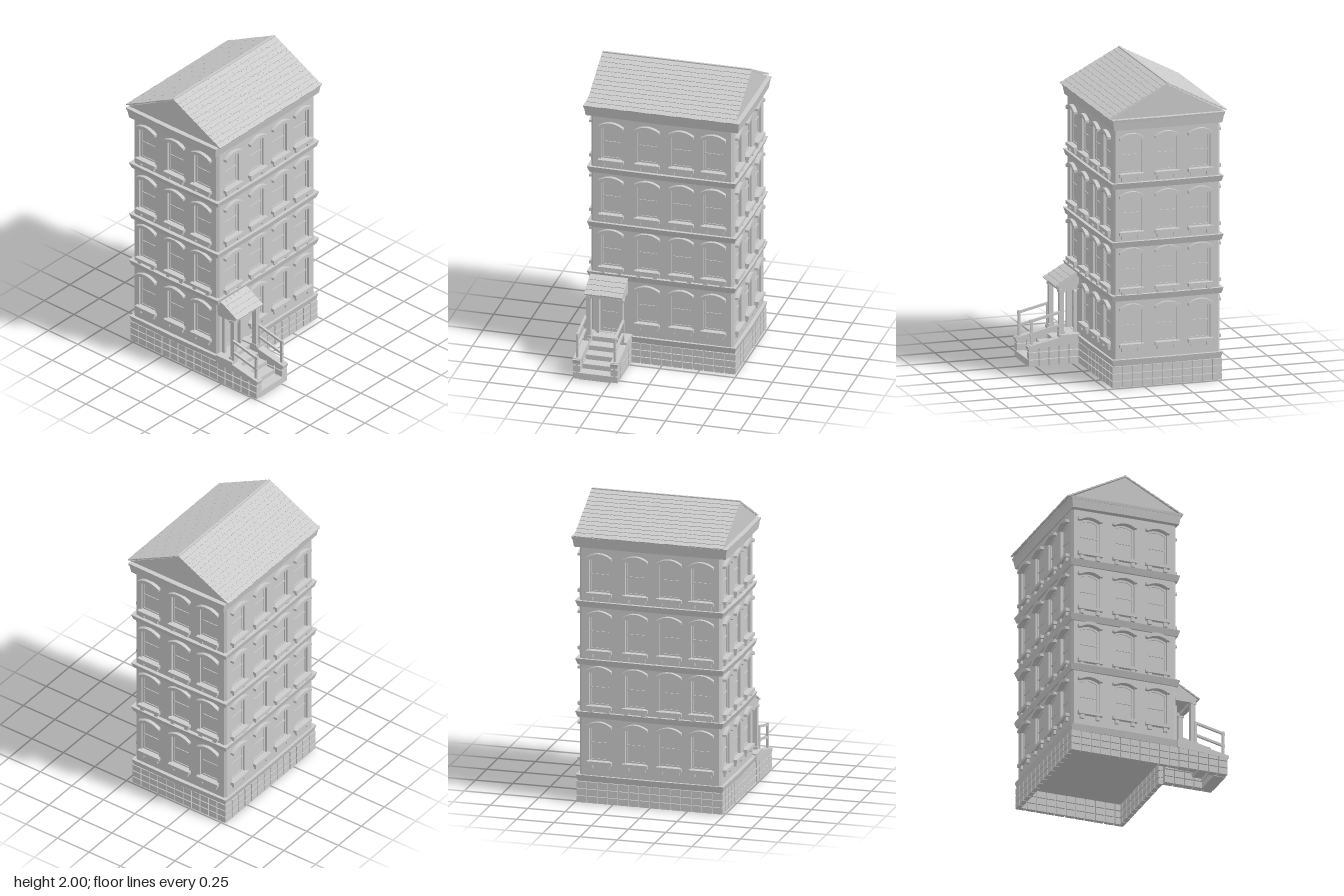
import * as THREE from 'three';
import { mergeGeometries } from 'three/addons/utils/BufferGeometryUtils.js';

const grey = new THREE.MeshStandardMaterial({ color: 0xcccccc, flatShading: true });
const CZ = -0.16, W = 0.95, D = 0.72, T = 0.02; // house centre, width, depth, wall thickness
const CHAMFER = 0.015;
const PORCH_X = -0.3475;

function mesh(name, geometry, parent, x = 0, y = 0, z = 0) {
  const m = new THREE.Mesh(geometry, grey);
  m.name = name;
  m.position.set(x, y, z);
  parent.add(m);
  return m;
}
const box = (w, h, d, x = 0, y = 0, z = 0) => new THREE.BoxGeometry(w, h, d).translate(x, y, z);
const extrude = (shape, depth, z = 0) =>
  new THREE.ExtrudeGeometry(shape, { depth, bevelEnabled: false, curveSegments: 8 }).translate(0, 0, z);

// Extrudes a (z, y) outline along x, centred
function extrudeX(points, width) {
  const shape = new THREE.Shape(points.map(([z, y]) => new THREE.Vector2(z, y)));
  return extrude(shape, width, -width / 2).rotateY(-Math.PI / 2);
}

// Round-topped opening outline
function arch(Type, cx, w, y0, ySide, yTop) {
  const p = new Type(), h = w / 2;
  p.moveTo(cx - h, y0);
  p.lineTo(cx + h, y0);
  p.lineTo(cx + h, ySide);
  p.quadraticCurveTo(cx, 2 * yTop - ySide, cx - h, ySide);
  p.closePath();
  return p;
}

// Moulding around the house, flaring towards the top, with slightly drawn-in corners
function moulding(name, y0, y1, x0, x1, z0, z1, parent) {
  const g = new THREE.BoxGeometry(2, y1 - y0, 2, 2, 1, 2);
  const p = g.attributes.position;
  for (let i = 0; i < p.count; i++) {
    const low = p.getY(i) < 0;
    const pull = Math.abs(p.getX(i) * p.getZ(i)) > 0.5 ? 0.007 : 0;
    p.setX(i, p.getX(i) * ((low ? x0 : x1) - pull));
    p.setZ(i, p.getZ(i) * ((low ? z0 : z1) - pull));
  }
  mesh(name, g, parent, 0, (y0 + y1) / 2, CZ);
}

// Window parts, measured down from the top of the hood
function windowGeometries() {
  const hood = new THREE.Shape();
  hood.moveTo(-0.083, -0.028);
  hood.quadraticCurveTo(0, 0.028, 0.083, -0.028);
  hood.lineTo(0.083, -0.044);
  hood.lineTo(0.067, -0.044);
  hood.quadraticCurveTo(0, -0.002, -0.067, -0.044);
  hood.lineTo(-0.083, -0.044);
  hood.closePath();
  const sash = arch(THREE.Shape, 0, 0.14, -0.268, -0.044, -0.023);
  sash.holes.push(arch(THREE.Path, 0, 0.116, -0.256, -0.054, -0.036));
  return {
    hood: extrude(hood, 0.025),
    sash: extrude(sash, 0.005, -T),
    rail: box(0.12, 0.01, 0.005, 0, -0.15, -T + 0.0025),
    sill: mergeGeometries([
      box(0.167, 0.022, 0.04, 0, -0.277, 0.005),
      ...[-1, 1].map(s => box(0.026, 0.03, 0.016, s * 0.055, -0.3, 0.008)),
    ]),
  };
}

const ROWS = [0.552, 0.923, 1.295, 1.68];

// One wall with its windows; local z = 0 is the outer face
function facade(name, width, columns, hasDoor, parts) {
  const g = new THREE.Group();
  g.name = name;
  const wall = new THREE.Shape();
  const h = width / 2;
  wall.moveTo(-h, 0.18);
  wall.lineTo(h, 0.18);
  wall.lineTo(h, 1.73);
  wall.lineTo(-h, 1.73);
  wall.closePath();
  ROWS.forEach((top, r) => columns.forEach((x, c) => {
    if (hasDoor && r === 0 && c === 0) return;
    wall.holes.push(arch(THREE.Path, x, 0.14, top - 0.268, top - 0.044, top - 0.023));
    const win = new THREE.Group();
    win.name = 'window';
    win.position.set(x, top, 0);
    for (const key in parts) mesh(key, parts[key], win);
    g.add(win);
  }));
  if (hasDoor) wall.holes.push(arch(THREE.Path, PORCH_X, 0.136, 0.19, 0.448, 0.47));
  mesh('wall', extrude(wall, T, -T), g);
  return g;
}

// Overlapping tiles; z runs down the slope, y is its normal
function shingles(width, length, rows, cols) {
  const list = [], tile = width / cols, run = length / rows;
  for (let r = 0; r < rows; r++) {
    const shift = (r % 2) * tile / 2;
    for (let c = 0; c <= cols; c++) {
      const a = Math.max(-width / 2, -width / 2 + c * tile - shift);
      const b = Math.min(width / 2, -width / 2 + (c + 1) * tile - shift);
      if (b - a < 0.005) continue;
      const wobble = ((r * 7 + c * 5) % 4) * 0.001;
      list.push(box(b - a - 0.0005, 0.008, run * 1.12 + wobble).rotateX(-0.1)
        .translate((a + b) / 2, 0.003, (r + 0.5) * run + wobble / 2));
    }
  }
  return mergeGeometries(list);
}

// Rows of blocks with deep open joints over a thin backing
function brickWall(length, cols, thick) {
  const list = [box(length - 0.01, 0.138, thick * 0.25, 0, 0.076, 0)];
  const w = length / cols, h = 0.0485;
  for (let r = 0; r < 3; r++) {
    for (let c = 0; c < cols; c++) {
      list.push(box(w - 0.007, h - 0.006, thick, -length / 2 + (c + 0.5) * w, (r + 0.5) * h, 0));
    }
  }
  return mergeGeometries(list);
}

function buildPorch(house) {
  const porch = new THREE.Group();
  porch.name = 'porch';
  house.add(porch);

  // Solid bottom step, then treads and risers open underneath
  const steps = [box(0.21, 0.045, 0.08, PORCH_X, 0.0225, 0.505)];
  for (let i = 1; i < 5; i++) {
    const top = 0.045 + i * 0.0353, z = 0.545 - i * 0.0673;
    const run = i === 4 ? z - 0.19 : 0.08;
    steps.push(box(0.21, 0.012, run, PORCH_X, top - 0.006, z - run / 2));
    steps.push(box(0.208, 0.035, 0.012, PORCH_X, top - 0.0185, z - 0.012));
  }
  mesh('steps', mergeGeometries(steps), porch);

  const bricks = brickWall(0.34, 5, 0.046).rotateY(Math.PI / 2);
  const cap = extrudeX([[0.2, 0.14], [0.55, 0.115], [0.555, 0.137], [0.34, 0.18], [0.34, 0.197], [0.2, 0.197]], 0.05);
  for (const s of [-1, 1]) {
    const x = PORCH_X + s * 0.125;
    mesh('stairSideWall', bricks, porch, x, 0, 0.378);
    mesh('stairSideCap', cap, porch, x);
    // Roof post with foot and head
    mesh('porchPost', mergeGeometries([
      box(0.032, 0.3, 0.032, 0, 0.345, 0.316),
      box(0.042, 0.018, 0.042, 0, 0.205, 0.316),
      box(0.042, 0.018, 0.042, 0, 0.482, 0.316),
    ]), porch, PORCH_X + s * 0.107);
    mesh('porchSideBeam', box(0.03, 0.025, 0.14, 0, 0.496, 0.265), porch, PORCH_X + s * 0.107);
    // Handrail with two sloping bars
    mesh('railPost', box(0.014, 0.18, 0.014, 0, 0.22, 0.522), porch, x);
    mesh('railTopPost', box(0.014, 0.16, 0.014, 0, 0.268, 0.331), porch, x);
    for (const y of [0.296, 0.211]) {
      mesh('rail', extrudeX([[0.533, y - 0.008], [0.533, y + 0.008], [0.325, y + 0.056], [0.325, y + 0.04]], 0.014), porch, x);
    }
  }
  mesh('porchFrontBeam', box(0.24, 0.025, 0.03, PORCH_X, 0.496, 0.32), porch);
  mesh('porchRoofBody', extrudeX([[0.19, 0.505], [0.346, 0.505], [0.346, 0.513], [0.22, 0.588], [0.19, 0.588]], 0.244), porch, PORCH_X);
  const slope = Math.atan2(0.083, 0.145);
  mesh('porchShingles', shingles(0.254, 0.158, 4, 6).rotateX(slope), porch, PORCH_X, 0.593, 0.219);

  // Door set back in an arched surround
  const frame = arch(THREE.Shape, 0, 0.172, 0.186, 0.462, 0.488);
  frame.holes.push(arch(THREE.Path, 0, 0.136, 0.187, 0.448, 0.47));
  mesh('doorFrame', extrude(frame, 0.02), porch, PORCH_X, 0, 0.2);
  const leaf = arch(THREE.Shape, 0, 0.132, 0.187, 0.446, 0.468);
  leaf.holes.push(arch(THREE.Path, 0, 0.096, 0.33, 0.432, 0.447), arch(THREE.Path, 0, 0.096, 0.21, 0.31, 0.31));
  mesh('door', extrude(leaf, 0.005), porch, PORCH_X, 0, 0.2 - T);
}

export function createModel() {
  const house = new THREE.Group();
  house.name = 'townhouse';

  // Brick base, open below and behind the steps
  mesh('baseBackWall', brickWall(0.98, 14, 0.03), house, 0, 0, CZ - 0.356);
  mesh('baseFrontWall', brickWall(0.7, 10, 0.03), house, 0.14, 0, CZ + 0.356);
  for (const s of [-1, 1]) {
    mesh('baseSideWall', brickWall(0.74, 11, 0.03).rotateY(Math.PI / 2), house, s * 0.475, 0, CZ);
  }
  moulding('baseLedge', 0.145, 0.187, 0.492, 0.502, 0.37, 0.38, house);

  // Core behind the walls gives the window panes
  mesh('windowPanes', box(W - 2 * T, 1.56, D - 2 * T, 0, 0.94, CZ), house);
  const parts = windowGeometries();
  const wide = [-0.338, -0.097, 0.13, 0.345], narrow = [-0.24, 0, 0.225];
  const sides = [['frontFacade', W, wide, D / 2], ['leftFacade', D, narrow, W / 2],
    ['backFacade', W, wide, D / 2], ['rightFacade', D, narrow, W / 2]];
  sides.forEach(([name, width, columns, out], turn) => {
    const f = facade(name, width - 2 * CHAMFER, columns, turn === 0, parts);
    const a = turn * Math.PI / 2;
    f.rotation.y = a;
    f.position.set(Math.sin(a) * out, 0, CZ + Math.cos(a) * out);
    house.add(f);
  });

  // Chamfered wall corners
  const corner = new THREE.CylinderGeometry(CHAMFER, CHAMFER, 1.55, 4);
  for (const sx of [-1, 1]) {
    for (const sz of [-1, 1]) {
      mesh('wallCorner', corner, house, sx * (W / 2 - CHAMFER), 0.955, CZ + sz * (D / 2 - CHAMFER));
    }
  }

  // Bands between storeys and the cornice
  for (const y of [0.573, 0.926, 1.314]) moulding('storeyBand', y, y + 0.04, 0.49, 0.504, 0.374, 0.384, house);
  moulding('cornice', 1.71, 1.775, 0.515, 0.524, 0.372, 0.384, house);
  moulding('corniceCap', 1.765, 1.782, 0.525, 0.528, 0.385, 0.388, house);

  // Pitched roof
  mesh('gable', extrudeX([[CZ + 0.385, 1.78], [CZ, 1.985], [CZ - 0.385, 1.78]], 0.985), house);
  const slope = Math.atan2(0.205, 0.393);
  const tiles = shingles(0.998, 0.443, 12, 24).rotateX(slope);
  for (const s of [0, 1]) {
    mesh('roofShingles', tiles, house, 0, 1.99, CZ).rotation.y = s * Math.PI;
  }
  mesh('ridge', box(0.994, 0.012, 0.014, 0, 1.994, CZ), house);

  buildPorch(house);
  return house;
}
